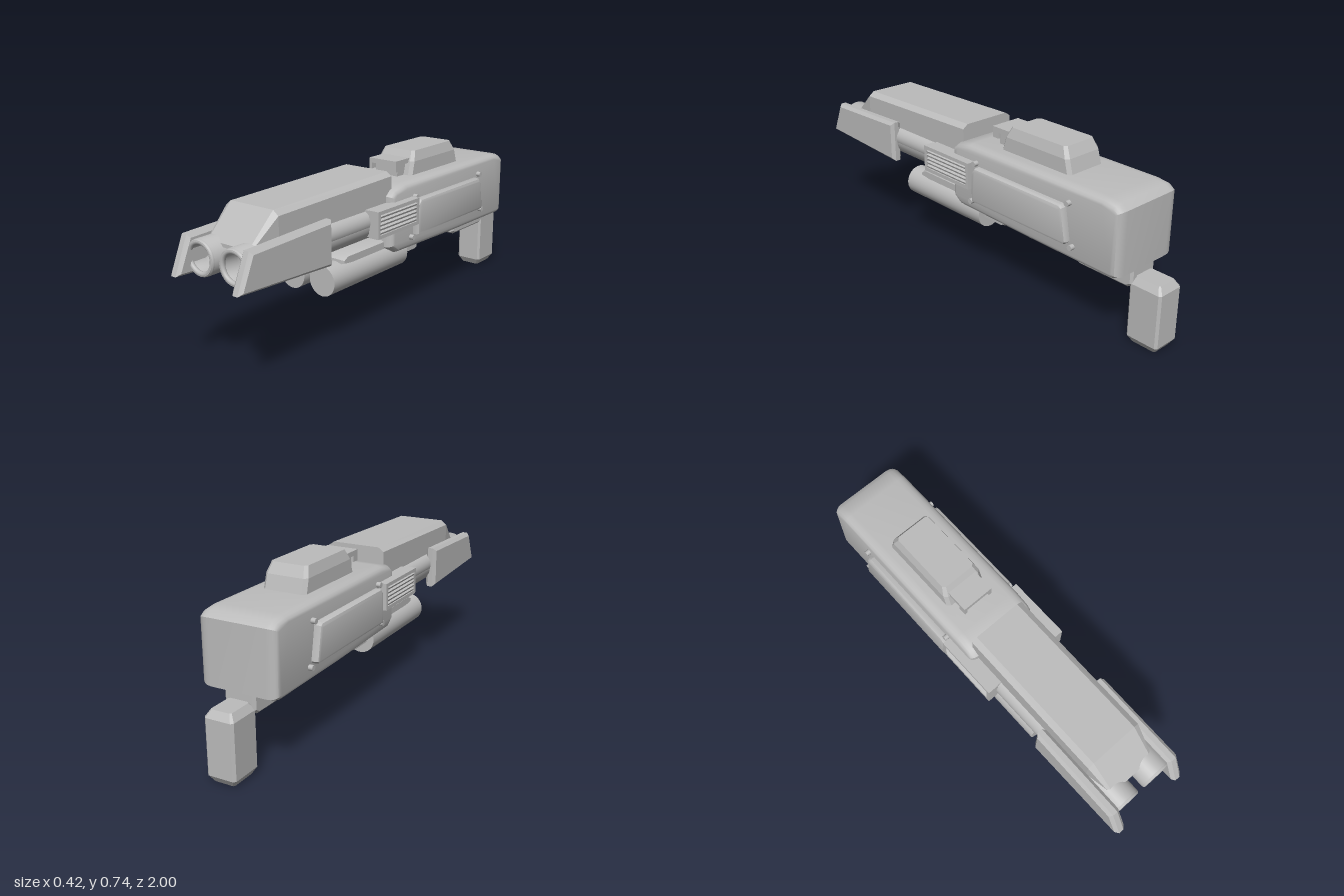
import * as THREE from 'three';
import { toCreasedNormals } from 'three/addons/utils/BufferGeometryUtils.js';

const metal = new THREE.MeshStandardMaterial({ color: 0xbcbcbc });
metal.name = 'grey metal';

// Side outline of [z, y] points, extruded across x with bevelled edges.
function slab(points, width, bevel, depthBevel = bevel, segments = 1) {
  const shape = new THREE.Shape(points.map(([z, y]) => new THREE.Vector2(z, y)));
  const g = new THREE.ExtrudeGeometry(shape, {
    depth: width - 2 * depthBevel, bevelEnabled: true, bevelSize: bevel,
    bevelThickness: depthBevel, bevelOffset: -bevel, bevelSegments: segments,
  });
  g.translate(0, 0, -(width - 2 * depthBevel) / 2);
  g.rotateY(-Math.PI / 2);
  return toCreasedNormals(g, 0.6);
}

// Joins equal-length rings of [x, y, z] points and closes both ends.
function loft(rings) {
  const n = rings[0].length, pos = [];
  const tri = (a, b, c) => pos.push(...a, ...b, ...c);
  for (let r = 0; r < rings.length - 1; r++) {
    for (let i = 0; i < n; i++) {
      const j = (i + 1) % n, a = rings[r], b = rings[r + 1];
      tri(a[i], a[j], b[j]);
      tri(a[i], b[j], b[i]);
    }
  }
  const first = rings[0], last = rings[rings.length - 1];
  for (let i = 1; i < n - 1; i++) {
    tri(first[0], first[i + 1], first[i]);
    tri(last[0], last[i], last[i + 1]);
  }
  const g = new THREE.BufferGeometry();
  g.setAttribute('position', new THREE.Float32BufferAttribute(pos, 3));
  g.computeVertexNormals();
  return g;
}

// Section across x at depth z with chamfered top edges, counter-clockwise seen from +z.
const section = (z, w, topW, bottom, shoulder, top) => [
  [-w, bottom, z], [w, bottom, z], [w, shoulder, z],
  [topW, top, z], [-topW, top, z], [-w, shoulder, z],
];

// Chamfered rectangle across x and z at height y, counter-clockwise seen from above.
const plan = (y, hx, z0, z1, c) => [
  [hx, y, z0 + c], [hx - c, y, z0], [-hx + c, y, z0], [-hx, y, z0 + c],
  [-hx, y, z1 - c], [-hx + c, y, z1], [hx - c, y, z1], [hx, y, z1 - c],
];

export function createModel() {
  const model = new THREE.Group();
  const add = (name, geometry, x = 0, y = 0, z = 0) => {
    const mesh = new THREE.Mesh(geometry, metal);
    mesh.name = name;
    mesh.position.set(x, y, z);
    model.add(mesh);
    return mesh;
  };
  const box = (name, w, h, d, x, y, z) => add(name, new THREE.BoxGeometry(w, h, d), x, y, z);
  // Cylinder lying along z between two depths
  const rod = (name, r, z0, z1, x, y) => {
    const g = new THREE.CylinderGeometry(r, r, z1 - z0, 40);
    g.rotateX(Math.PI / 2);
    add(name, g, x, y, (z0 + z1) / 2);
  };

  // Main housing
  add('body', slab([
    [0.08, 0.36], [0.08, 0.59], [0.05, 0.615], [-0.03, 0.63], [-0.78, 0.63], [-0.84, 0.622],
    [-0.87, 0.6], [-0.87, 0.325], [-0.84, 0.312], [-0.4, 0.315], [0.03, 0.325],
  ].reverse(), 0.345, 0.025, 0.045, 4));

  // Sloping cover above the barrels
  add('topCover', loft([
    section(0.04, 0.138, 0.112, 0.545, 0.672, 0.69),
    section(0.74, 0.138, 0.112, 0.545, 0.655, 0.675),
    section(0.87, 0.117, 0.108, 0.535, 0.542, 0.55),
  ]));

  // Raised block and small sight bracket on top
  add('topBlock', loft([
    plan(0.62, 0.1, -0.555, -0.155, 0.015),
    plan(0.69, 0.098, -0.535, -0.175, 0.015),
    plan(0.735, 0.084, -0.51, -0.2, 0.012),
  ]));
  box('sightPlate', 0.148, 0.022, 0.13, 0, 0.694, -0.145);
  for (const s of [-1, 1]) box('sightLeg', 0.014, 0.03, 0.035, s * 0.067, 0.671, -0.0975);
  box('sightCore', 0.12, 0.07, 0.09, 0, 0.655, -0.155);

  // Rear grip and its mount
  add('grip', loft([
    plan(0, 0.046, -0.98, -0.865, 0.006),
    plan(0.03, 0.065, -1, -0.848, 0.01),
    plan(0.265, 0.065, -1, -0.848, 0.01),
    plan(0.295, 0.046, -0.98, -0.865, 0.006),
  ]));
  add('gripMount', slab([
    [-0.57, 0.33], [-0.57, 0.255], [-0.59, 0.243], [-0.84, 0.243], [-0.865, 0.26], [-0.865, 0.33],
  ].reverse(), 0.14, 0.01));
  box('bellyPlate', 0.16, 0.016, 0.17, 0, 0.308, -0.485);

  // Carrier for the lower cylinders
  add('lowerCarrier', slab([
    [0.36, 0.352], [0.36, 0.375], [0.33, 0.392], [0.05, 0.392], [0.05, 0.345], [0.3, 0.345],
  ], 0.26, 0.008, 0.025));
  add('lowerBracket', slab([
    [0.1, 0.275], [0.1, 0.35], [-0.2, 0.33], [-0.205, 0.285], [-0.18, 0.272],
  ], 0.23, 0.012, 0.03));

  // Open barrel with a rounded bore
  const barrelProfile = [
    [0.075, 0.03], [0.075, 0.925], [0.07, 0.935], [0.062, 0.935], [0.056, 0.925],
    [0.056, 0.86], [0.05, 0.83], [0.03, 0.808], [0, 0.8],
  ].map(([r, z]) => new THREE.Vector2(r, z));

  for (const s of [-1, 1]) {
    const barrel = new THREE.LatheGeometry(barrelProfile, 32);
    barrel.rotateX(Math.PI / 2);
    add('barrel', toCreasedNormals(barrel, 0.7), s * 0.09, 0.495, 0);
    add('muzzleRing', new THREE.TorusGeometry(0.064, 0.011, 10, 32), s * 0.09, 0.495, 0.925);
    rod('sideRod', 0.05, 0.1, 0.6, s * 0.118, 0.51);
    rod('lowerCylinder', 0.067, -0.07, 0.44, s * 0.082, 0.298);

    // Forward cheek plate
    add('cheekPlate', slab([
      [0.49, 0.4], [1, 0.425], [0.935, 0.578], [0.49, 0.592],
    ], 0.052, 0.014), s * 0.165, 0, 0);

    // Bevelled panel on the housing
    add('sidePanel', slab([
      [-0.08, 0.39], [-0.08, 0.525], [-0.1, 0.55], [-0.59, 0.55], [-0.605, 0.54], [-0.63, 0.4], [-0.62, 0.39],
    ].reverse(), 0.06, 0.014, 0.014, 2), s * 0.175, 0, 0);

    // Louvred vent: backing, frame and slats
    box('ventBacking', 0.07, 0.115, 0.29, s * 0.162, 0.505, 0.078);
    for (const y of [0.453, 0.557]) box('ventRail', 0.05, 0.016, 0.295, s * 0.185, y, 0.078);
    for (const z of [-0.062, 0.218]) box('ventPost', 0.05, 0.12, 0.016, s * 0.185, 0.505, z);
    for (let i = 0; i < 5; i++) {
      const slat = box('ventSlat', 0.016, 0.009, 0.27, s * 0.201, 0.47 + i * 0.0175, 0.078);
      slat.rotation.z = -s * 0.35;
    }

    // Panel bolts
    for (const [z, y] of [[-0.085, 0.562], [-0.62, 0.562], [-0.06, 0.381], [-0.645, 0.381]]) {
      const bolt = new THREE.CylinderGeometry(0.012, 0.012, 0.04, 12);
      bolt.rotateZ(Math.PI / 2);
      add('bolt', bolt, s * 0.172, y, z);
    }
  }
  return model;
}
